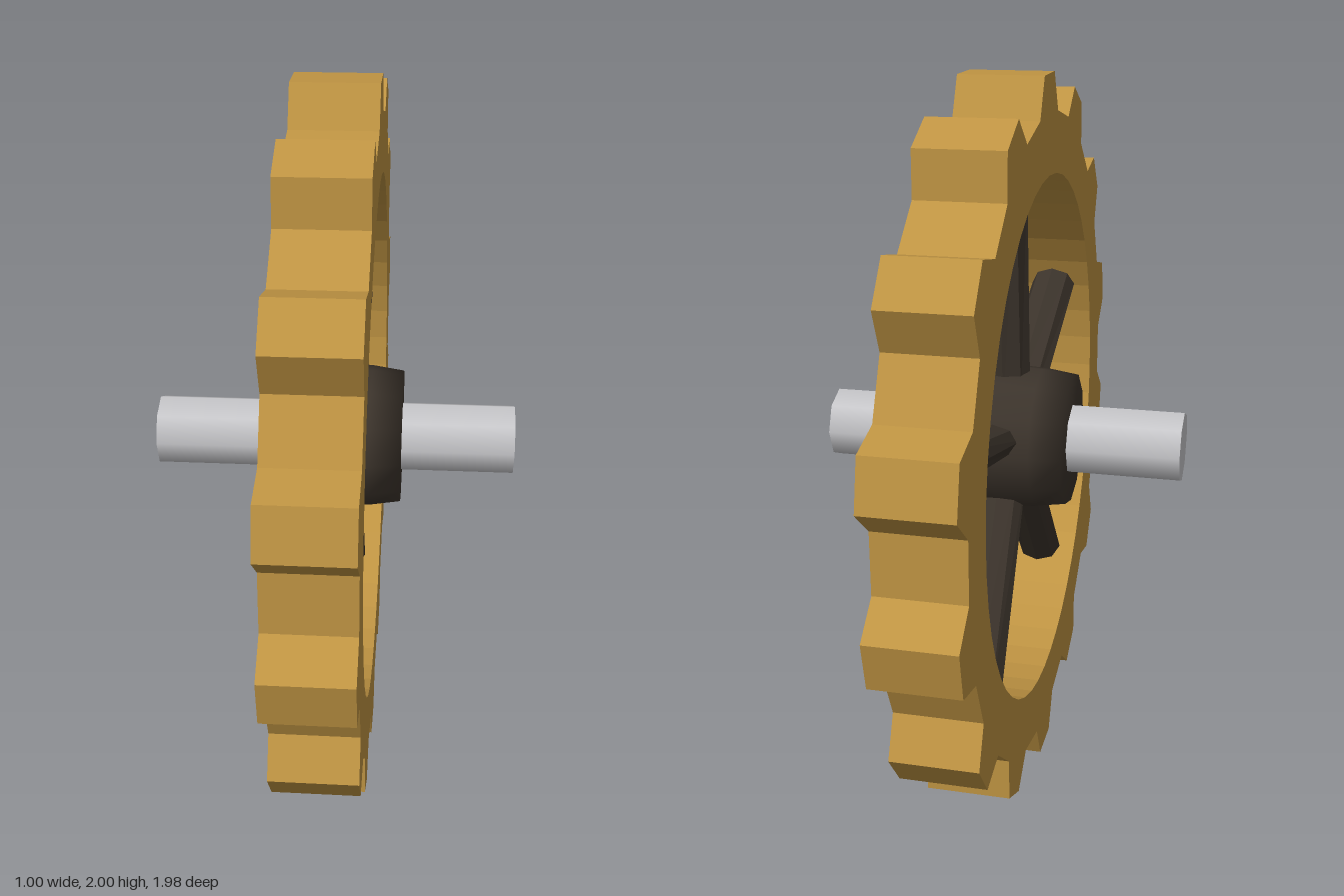
import * as THREE from 'three';

const TEETH = 14, SPOKES = 5;
const gold = new THREE.MeshStandardMaterial({ color: 0xbe9342 });
gold.name = 'gold';
const darkIron = new THREE.MeshStandardMaterial({ color: 0x3b332b });
darkIron.name = 'dark iron';
const steel = new THREE.MeshStandardMaterial({ color: 0xc6c6c9 });
steel.name = 'steel';

function part(name, geometry, material) {
  const mesh = new THREE.Mesh(geometry, material);
  mesh.name = name;
  return mesh;
}

// Toothed ring, extruded along the axle
function rimGeometry() {
  const deg = Math.PI / 180, twist = 0.68 * deg;
  const points = [];
  for (let i = 0; i < TEETH; i++) {
    const mid = twist - (i / TEETH) * Math.PI * 2;
    for (const [offset, r] of [[7.7, 0.9], [3.8, 1.001], [-3.8, 1.001], [-7.7, 0.9]]) {
      const a = mid + offset * deg;
      points.push(new THREE.Vector2(Math.sin(a) * r, Math.cos(a) * r));
    }
  }
  // Outline runs counter-clockwise, the hole clockwise
  const shape = new THREE.Shape(points);
  shape.holes.push(new THREE.Path().absarc(0, 0, 0.735, 0, Math.PI * 2, true));
  const geometry = new THREE.ExtrudeGeometry(shape, { depth: 0.23, bevelEnabled: false, curveSegments: 24 });
  return geometry.translate(0, 0, -0.115).rotateY(Math.PI / 2);
}

// Spoke that widens toward the rim across the wheel but keeps its depth along the axle
function spokeGeometry() {
  const hubR = 0.044, rimR = 0.058, depthR = 0.068, length = 0.66;
  const geometry = new THREE.CylinderGeometry(rimR, hubR, length, 8);
  const pos = geometry.attributes.position;
  for (let i = 0; i < pos.count; i++) {
    const r = THREE.MathUtils.lerp(hubR, rimR, pos.getY(i) / length + 0.5);
    pos.setX(i, pos.getX(i) * depthR / r);
  }
  const flat = geometry.translate(0, 0.43, 0).toNonIndexed();
  flat.computeVertexNormals();
  return flat;
}

export function createModel() {
  const group = new THREE.Group();
  const wheel = new THREE.Group();
  wheel.name = 'wheel';
  wheel.position.y = 1;
  group.add(wheel);

  wheel.add(part('toothedRim', rimGeometry(), gold));

  // Barrel-shaped hub with softly shaded ends
  const profile = [[0, -0.187], [0.186, -0.187], [0.199, -0.1], [0.205, 0],
    [0.199, 0.1], [0.186, 0.187], [0, 0.187]].map(([r, y]) => new THREE.Vector2(r, y));
  wheel.add(part('hub', new THREE.LatheGeometry(profile, 12).rotateZ(Math.PI / 2), darkIron));

  // Axle through the hub
  const axle = new THREE.CylinderGeometry(0.1, 0.1, 1, 8).rotateZ(Math.PI / 2);
  wheel.add(part('axle', axle, steel));

  const spoke = spokeGeometry();
  for (let i = 0; i < SPOKES; i++) {
    const mesh = part('spoke' + (i + 1), spoke, darkIron);
    mesh.rotation.x = -(0.087 + (i / SPOKES) * Math.PI * 2);
    wheel.add(mesh);
  }
  return group;
}
